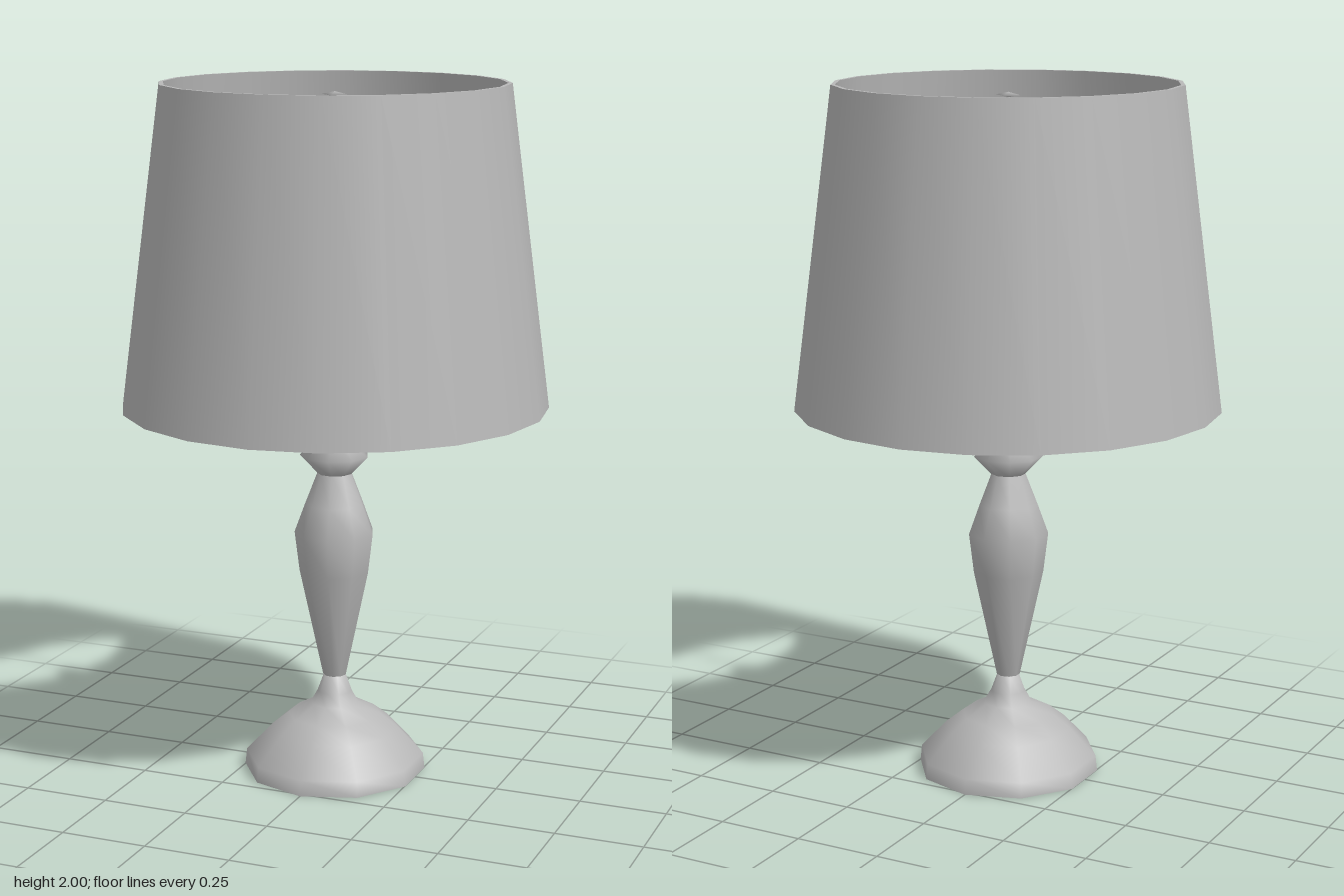
import * as THREE from 'three';

const grey = new THREE.MeshStandardMaterial({ color: 0xb8b8b8, side: THREE.DoubleSide });
grey.name = 'plain grey';

// Turned part from [radius, height] pairs, listed bottom to top on the outside
function turned(name, points, sides, turn = 0) {
  const profile = points.map(([r, y]) => new THREE.Vector2(r, y));
  const mesh = new THREE.Mesh(new THREE.LatheGeometry(profile, sides, turn), grey);
  mesh.name = name;
  return mesh;
}

export function createModel() {
  const lamp = new THREE.Group();
  lamp.name = 'tableLamp';

  // Domed foot with a flat underside
  lamp.add(turned('footUnderside', [[0, 0], [0.265, 0]], 10));
  lamp.add(turned('foot', [
    [0.265, 0], [0.26, 0.045], [0.185, 0.125], [0.135, 0.165],
    [0.07, 0.2], [0.05, 0.235], [0.032, 0.285], [0, 0.29],
  ], 10));

  // Turned column: vase, pointed collar and neck
  lamp.add(turned('vase', [
    [0, 0.285], [0.034, 0.285], [0.102, 0.6], [0.116, 0.715], [0.085, 0.8], [0.05, 0.89],
  ], 9, 0.2));
  lamp.add(turned('collar', [[0.05, 0.89], [0.1, 0.943], [0.045, 0.995]], 9, 0.2));
  lamp.add(turned('neck', [[0.043, 0.99], [0.043, 1.11]], 9, 0.2));

  // Socket and bulb inside the shade
  lamp.add(turned('socket', [[0.043, 1.1], [0.07, 1.13], [0.066, 1.25], [0.05, 1.3]], 9));
  lamp.add(turned('bulb', [[0.05, 1.3], [0.062, 1.38], [0.045, 1.45], [0, 1.48]], 9));

  // Slim rod carrying a four-sided finial
  lamp.add(turned('finialRod', [[0.005, 1.47], [0.005, 1.97]], 4));
  lamp.add(turned('finial', [[0, 1.96], [0.036, 1.967], [0, 1.975]], 4, 0.1));

  // Shade: outer wall, lining, and the narrow rims joining them
  const wall = 0.012, low = [0.608, 1.09], high = [0.49, 2];
  const inset = ([r, y]) => [r - wall, y];
  const shade = new THREE.Group();
  shade.name = 'shade';
  shade.add(
    turned('shadeWall', [low, high], 20),
    turned('shadeLining', [inset(high), inset(low)], 20),
    turned('topRim', [high, inset(high)], 20),
    turned('bottomRim', [inset(low), low], 20),
  );
  lamp.add(shade);

  return lamp;
}
